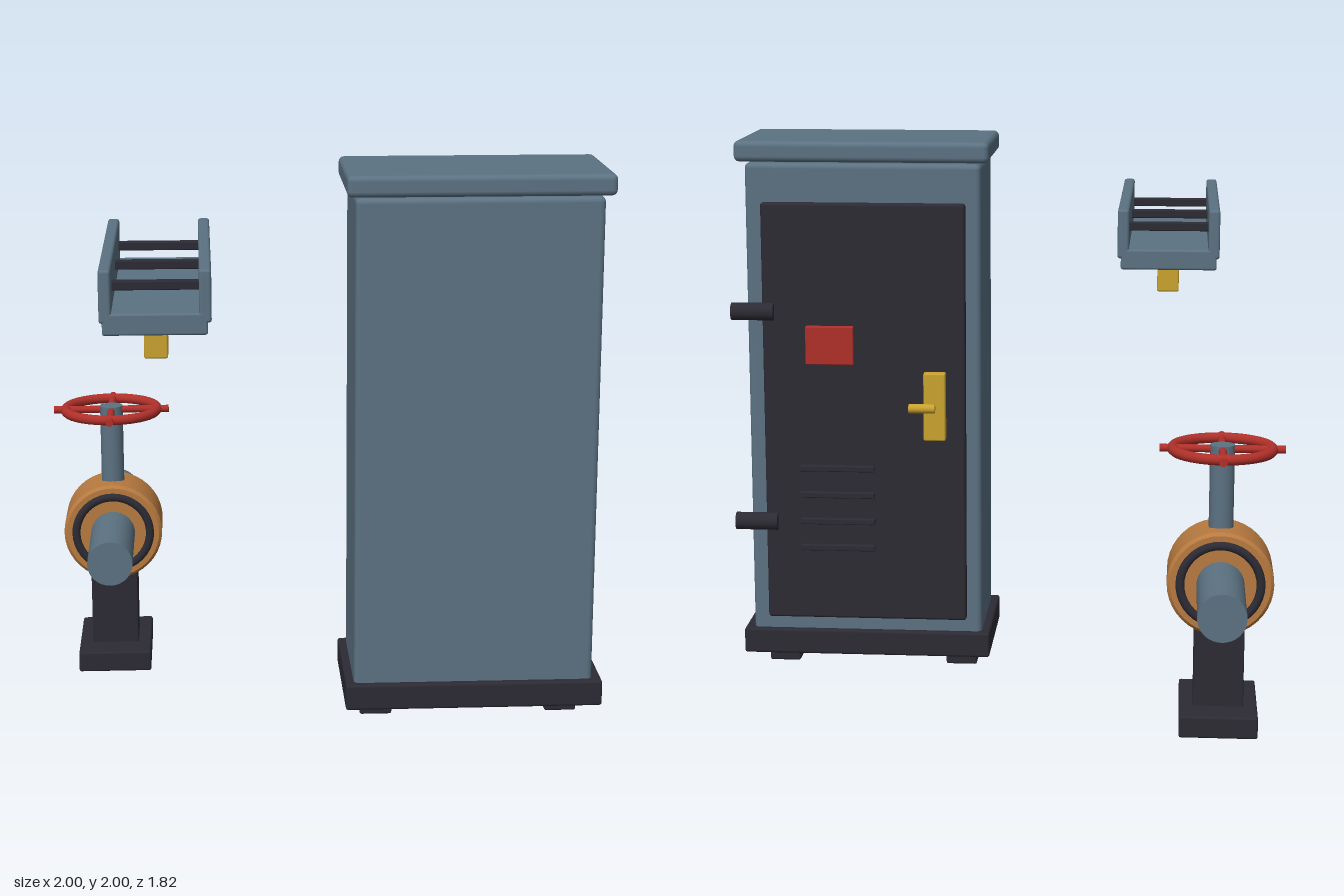
import * as THREE from 'three';
import { RoundedBoxGeometry } from 'three/addons/geometries/RoundedBoxGeometry.js';
import { toCreasedNormals } from 'three/addons/utils/BufferGeometryUtils.js';

function material(name, color) {
  const m = new THREE.MeshStandardMaterial({ color });
  m.name = name;
  return m;
}

export function createModel() {
  const steel = material('blue grey steel', 0x5c7282);
  const dark = material('dark iron', 0x2c2b34);
  const bronze = material('bronze', 0xb87a40);
  const red = material('red paint', 0xb0302a);
  const brass = material('brass', 0xc9a22f);

  const model = new THREE.Group();
  model.name = 'utilityEquipment';

  function group(name) {
    const g = new THREE.Group();
    g.name = name;
    model.add(g);
    return g;
  }
  function add(parent, name, geometry, mat, x = 0, y = 0, z = 0) {
    const mesh = new THREE.Mesh(geometry, mat);
    mesh.name = name;
    mesh.position.set(x, y, z);
    parent.add(mesh);
    return mesh;
  }
  // Box given by its limits on each axis, with softened edges
  function box(parent, name, mat, [x0, x1], [y0, y1], [z0, z1], r = 0.006) {
    const geometry = new RoundedBoxGeometry(x1 - x0, y1 - y0, z1 - z0, 2, r);
    return add(parent, name, geometry, mat, (x0 + x1) / 2, (y0 + y1) / 2, (z0 + z1) / 2);
  }
  // Round bar along one axis
  function bar(parent, name, mat, axis, radius, length, x, y, z, sides = 24) {
    const geometry = new THREE.CylinderGeometry(radius, radius, length, sides);
    if (axis === 'x') geometry.rotateZ(Math.PI / 2);
    if (axis === 'z') geometry.rotateX(Math.PI / 2);
    return add(parent, name, geometry, mat, x, y, z);
  }

  // Cabinet shell
  const cabinet = group('cabinet');
  box(cabinet, 'cabinetBody', steel, [0.09, 0.945], [0.15, 1.92], [-0.02, 0.44], 0.02);
  box(cabinet, 'roof', steel, [0.06, 0.98], [1.925, 2], [-0.043, 0.465], 0.02);
  box(cabinet, 'roofNeck', steel, [0.12, 0.915], [1.9, 1.94], [0.01, 0.41]);
  box(cabinet, 'plinth', dark, [0.06, 0.98], [0.085, 0.18], [-0.043, 0.465], 0.01);
  for (const x of [0.18, 0.857]) {
    box(cabinet, 'foot', dark, [x - 0.058, x + 0.058], [0, 0.09], [0.133, 0.29], 0.008);
  }

  // Door on the back face with its fittings
  box(cabinet, 'door', dark, [0.145, 0.885], [0.23, 1.78], [-0.052, -0.01], 0.01);
  for (const y of [0.6, 1.385]) bar(cabinet, 'hinge', dark, 'x', 0.032, 0.155, 0.918, y, -0.056);
  for (const y of [0.505, 0.605, 0.705, 0.805]) {
    box(cabinet, 'louvre', dark, [0.48, 0.755], [y - 0.011, y + 0.011], [-0.071, -0.045], 0.004);
  }
  box(cabinet, 'warningPlate', red, [0.55, 0.725], [1.195, 1.335], [-0.077, -0.05], 0.004);
  box(cabinet, 'lockPlate', brass, [0.215, 0.295], [0.92, 1.17], [-0.088, -0.045], 0.006);
  bar(cabinet, 'lockSpindle', brass, 'z', 0.012, 0.04, 0.27, 1.045, -0.095);
  bar(cabinet, 'doorHandle', brass, 'x', 0.017, 0.095, 0.298, 1.045, -0.11);

  // Cable tray
  const tray = group('cableTray');
  box(tray, 'trayFloor', steel, [-0.755, -0.415], [1.558, 1.63], [-0.09, 0.907], 0.008);
  for (const x of [-0.745, -0.423]) {
    box(tray, 'trayWall', steel, [x - 0.02, x + 0.02], [1.597, 1.772], [-0.09, 0.907], 0.01);
  }
  for (const z of [0.045, 0.405, 0.765]) {
    box(tray, 'trayRung', dark, [-0.73, -0.44], [1.682, 1.712], [z - 0.018, z + 0.018], 0.004);
  }
  for (const z of [0.005, 0.815]) {
    box(tray, 'trayBracket', brass, [-0.622, -0.545], [1.475, 1.56], [z - 0.06, z + 0.06]);
  }

  // Valve pedestal, pipe and body
  const valve = group('valve');
  valve.position.set(-0.782, 0, -0.41);
  box(valve, 'pedestalFoot', dark, [-0.137, 0.137], [0, 0.078], [-0.207, 0.207], 0.008);
  box(valve, 'pedestalPost', dark, [-0.088, 0.088], [0.07, 0.4], [-0.088, 0.088], 0.006);
  bar(valve, 'pipe', steel, 'z', 0.083, 0.995, 0, 0.525, -0.003, 32);
  const profile = [[0, -0.107], [0.175, -0.107], [0.186, -0.096], [0.186, 0.096], [0.175, 0.107], [0, 0.107]]
    .map(([r, h]) => new THREE.Vector2(r, h));
  const bodyGeometry = toCreasedNormals(new THREE.LatheGeometry(profile, 40).rotateX(Math.PI / 2), 0.6);
  add(valve, 'valveBody', bodyGeometry, bronze, 0, 0.525, 0);
  for (const z of [-0.105, 0.105]) {
    add(valve, 'sealRing', new THREE.TorusGeometry(0.14, 0.016, 10, 40), dark, 0, 0.525, z);
  }

  // Stem and hand wheel
  bar(valve, 'stem', steel, 'y', 0.043, 0.32, 0, 0.84, 0);
  add(valve, 'wheelRim', new THREE.TorusGeometry(0.173, 0.019, 12, 40).rotateX(Math.PI / 2), red, 0, 0.985, 0);
  for (const axis of ['x', 'z']) bar(valve, 'wheelSpoke', red, axis, 0.014, 0.436, 0, 0.985, 0, 12);

  return model;
}
